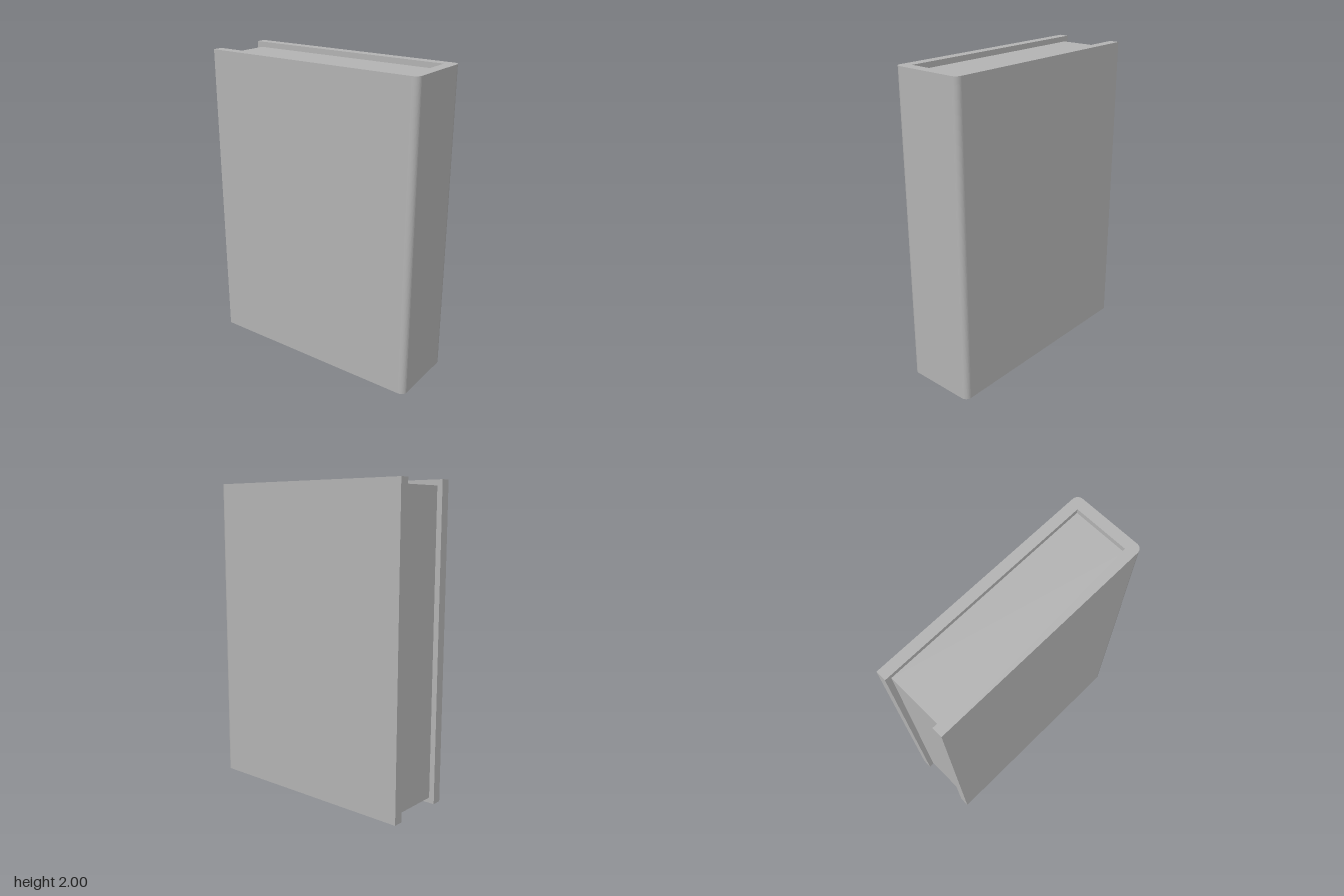
import * as THREE from 'three';

export function createModel() {
  const book = new THREE.Group();
  book.name = 'book';

  const grey = new THREE.MeshStandardMaterial({ color: 0xb3b3b3 });
  grey.name = 'plain grey';

  const height = 2;
  const halfWidth = 0.24, halfDepth = 0.74;
  const pageHalfWidth = 0.175, pageFront = 0.67, inset = 0.035;
  const radius = 0.04;

  // Cover: U-shaped plan (shape y is -z) with rounded spine corners, extruded upward
  const plan = new THREE.Shape();
  plan.moveTo(-halfWidth, halfDepth);
  plan.lineTo(-halfWidth, -halfDepth + radius);
  plan.absarc(-halfWidth + radius, -halfDepth + radius, radius, Math.PI, Math.PI * 1.5, false);
  plan.lineTo(halfWidth - radius, -halfDepth);
  plan.absarc(halfWidth - radius, -halfDepth + radius, radius, Math.PI * 1.5, Math.PI * 2, false);
  plan.lineTo(halfWidth, halfDepth);
  plan.lineTo(pageHalfWidth, halfDepth);
  plan.lineTo(pageHalfWidth, -pageFront);
  plan.lineTo(-pageHalfWidth, -pageFront);
  plan.lineTo(-pageHalfWidth, halfDepth);
  plan.closePath();
  const coverGeometry = new THREE.ExtrudeGeometry(plan, {
    depth: height, bevelEnabled: false, curveSegments: 6,
  });
  coverGeometry.rotateX(-Math.PI / 2);
  const cover = new THREE.Mesh(coverGeometry, grey);
  cover.name = 'cover';
  book.add(cover);

  // Page block: set back from the cover at the top, bottom and open edge
  const pageDepth = pageFront + halfDepth - inset;
  const pages = new THREE.Mesh(
    new THREE.BoxGeometry(pageHalfWidth * 2, height - inset * 2, pageDepth), grey);
  pages.position.set(0, height / 2, pageFront - pageDepth / 2);
  pages.name = 'pages';
  book.add(pages);

  return book;
}
